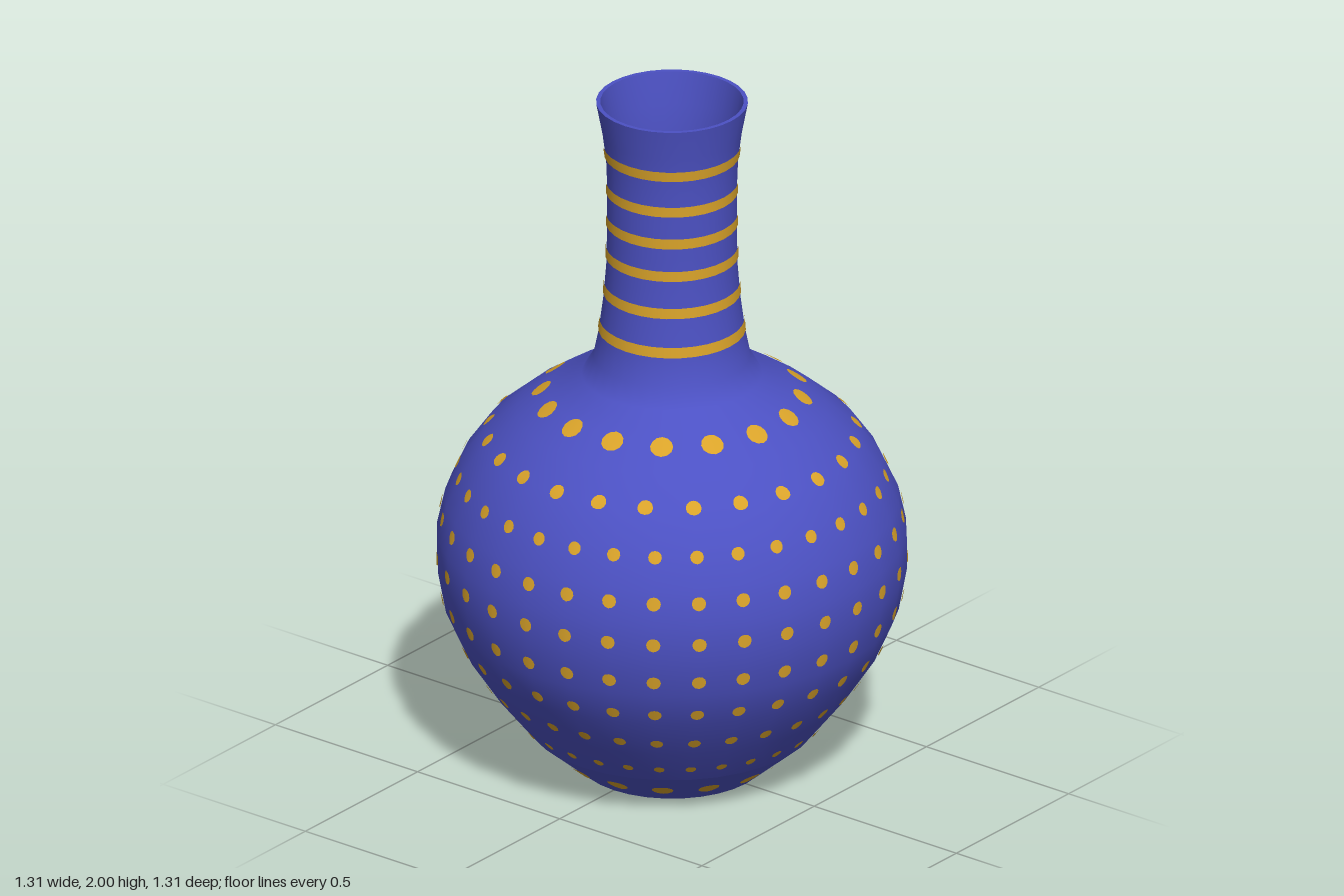
import * as THREE from 'three';
import { mergeGeometries } from 'three/addons/utils/BufferGeometryUtils.js';

const SIDES = 32;
const blue = new THREE.MeshStandardMaterial({ name: 'blue glaze', color: 0x4c51c3 });
const gold = new THREE.MeshStandardMaterial({ name: 'gold paint', color: 0xd9a32a });

// Outer profile as [radius, height], from foot to lip
const FOOT = [[0.26, 0], [0.4, 0.12]];
const BODY = [
  [0.4, 0.12], [0.495, 0.24], [0.58, 0.37], [0.628, 0.48], [0.65, 0.6], [0.65, 0.7],
  [0.628, 0.8], [0.582, 0.9], [0.518, 0.99], [0.43, 1.065], [0.342, 1.125], [0.25, 1.175],
  [0.217, 1.23], [0.203, 1.3], [0.19, 1.4], [0.182, 1.5], [0.18, 1.6], [0.18, 1.75],
  [0.183, 1.83], [0.193, 1.91], [0.21, 2],
];
const PROFILE = [...FOOT, ...BODY.slice(1)];
const WALL = 0.012;

function radiusAt(y) {
  for (let i = 1; i < PROFILE.length; i++) {
    const [r0, y0] = PROFILE[i - 1], [r1, y1] = PROFILE[i];
    if (y <= y1) return r0 + (r1 - r0) * (y - y0) / (y1 - y0);
  }
  return PROFILE[PROFILE.length - 1][0];
}

function lathe(name, points, material) {
  const geometry = new THREE.LatheGeometry(points.map(([r, y]) => new THREE.Vector2(r, y)), SIDES);
  const mesh = new THREE.Mesh(geometry, material);
  mesh.name = name;
  return mesh;
}

// Point just above the faceted vase wall
function surfacePoint(theta, y, slope, lift) {
  const step = 2 * Math.PI / SIDES;
  const fromMiddle = theta - (Math.floor(theta / step) + 0.5) * step;
  const r = radiusAt(y) * Math.cos(step / 2) / Math.cos(fromMiddle) + lift * slope.up;
  return [r * Math.sin(theta), y - lift * slope.out, r * Math.cos(theta)];
}

// Round dot wrapped onto the wall
function dotGeometry(theta, y, size) {
  const dr = radiusAt(y + 0.015) - radiusAt(y - 0.015);
  const len = Math.hypot(dr, 0.03);
  const slope = { up: 0.03 / len, out: dr / len };
  const corners = 12, lift = 0.004;
  const positions = [...surfacePoint(theta, y, slope, lift)], index = [];
  for (let i = 0; i < corners; i++) {
    const a = i / corners * 2 * Math.PI;
    const turn = size * Math.cos(a) / radiusAt(y);
    positions.push(...surfacePoint(theta + turn, y + size * Math.sin(a) * slope.up, slope, lift));
    index.push(0, 1 + i, 1 + (i + 1) % corners);
  }
  const geometry = new THREE.BufferGeometry();
  geometry.setAttribute('position', new THREE.Float32BufferAttribute(positions, 3));
  geometry.setIndex(index);
  geometry.computeVertexNormals();
  return geometry;
}

export function createModel() {
  const vase = new THREE.Group();
  vase.name = 'vase';

  // Vase shell, open at the top
  vase.add(lathe('base', [[0, 0], FOOT[0]], blue));
  vase.add(lathe('foot', FOOT, blue));
  vase.add(lathe('bodyAndNeck', BODY, blue));
  vase.add(lathe('lip', [[0.21, 2], [0.21 - WALL, 2]], blue));
  const inside = PROFILE.map(([r, y]) => [r - WALL, Math.max(y, 0.015)]).reverse();
  vase.add(lathe('innerWall', inside, blue));
  vase.add(lathe('innerFloor', [[0.26 - WALL, 0.015], [0, 0.015]], blue));

  // Painted rings around the neck
  for (const y of [1.327, 1.44, 1.55, 1.648, 1.745, 1.855]) {
    const ring = [-0.015, 0, 0.015].map((d) => [radiusAt(y + d) + 0.003, y + d]);
    vase.add(lathe('neckRing', ring, gold));
  }

  // Rows of painted dots: height, count, dot radius, half-step shift
  const rows = [
    [0.06, 16, 0.03, 0.5], [0.175, 32, 0.015, 0], [0.292, 32, 0.018, 0], [0.41, 32, 0.019, 0],
    [0.525, 32, 0.02, 0], [0.645, 32, 0.02, 0], [0.763, 32, 0.02, 0], [0.883, 32, 0.019, 0],
    [0.995, 24, 0.022, 0], [1.112, 16, 0.032, 0.5],
  ];
  for (const [y, count, size, shift] of rows) {
    const dots = [];
    for (let i = 0; i < count; i++) dots.push(dotGeometry((i + shift) / count * 2 * Math.PI, y, size));
    const mesh = new THREE.Mesh(mergeGeometries(dots), gold);
    mesh.name = 'dotRow';
    vase.add(mesh);
  }
  return vase;
}
